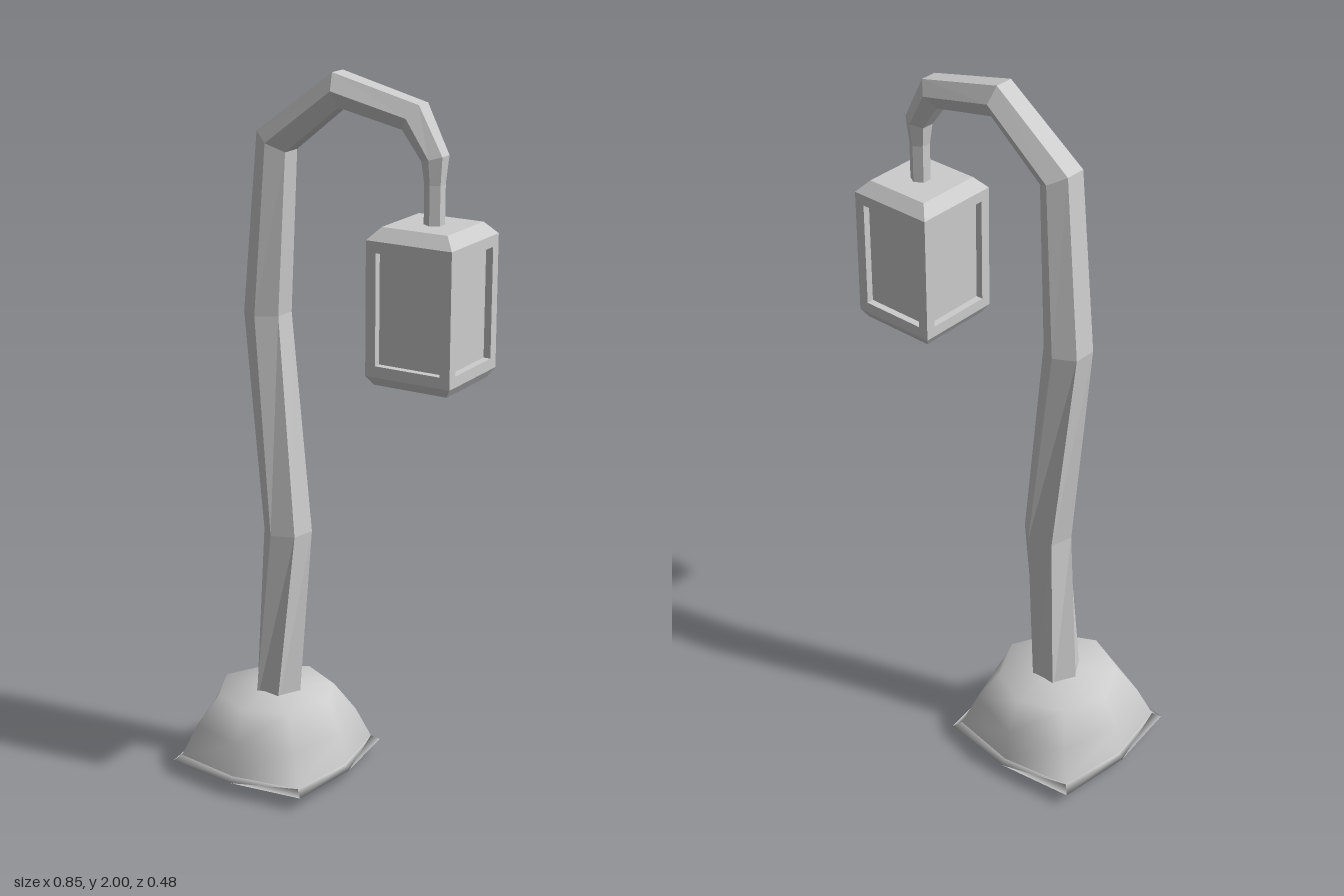
import * as THREE from 'three';

const stone = new THREE.MeshStandardMaterial({ color: 0xcccccc });
stone.name = 'plainGrey';

function add(parent, name, geometry) {
  const mesh = new THREE.Mesh(geometry, stone);
  mesh.name = name;
  parent.add(mesh);
  return mesh;
}

function faceted(geometry) {
  const g = geometry.index ? geometry.toNonIndexed() : geometry;
  g.computeVertexNormals();
  return g;
}

// Skin a stack of rings (bottom to top); optional end points close it.
function loft(rings, { start, end } = {}) {
  const n = rings[0].length, index = [], points = rings.flat();
  for (let j = 0; j < rings.length - 1; j++) {
    for (let i = 0; i < n; i++) {
      const a = j * n + i, b = j * n + (i + 1) % n;
      index.push(a, a + n, b, b, a + n, b + n);
    }
  }
  const cap = (point, base, flip) => {
    const c = points.push(point) - 1;
    for (let i = 0; i < n; i++) {
      const a = base + i, b = base + (i + 1) % n;
      index.push(c, flip ? b : a, flip ? a : b);
    }
  };
  if (start) cap(start, 0, false);
  if (end) cap(end, (rings.length - 1) * n, true);
  const g = new THREE.BufferGeometry().setFromPoints(points);
  g.setIndex(index);
  g.computeVertexNormals();
  return g;
}

// Rounded-square ring: mid-side distance, corner offset, heights of each.
function squareRing(mid, corner, yMid, yCorner = yMid) {
  return Array.from({ length: 8 }, (_, i) => {
    const a = i * Math.PI / 4, isCorner = i % 2 === 1;
    const r = isCorner ? corner * Math.SQRT2 : mid;
    return new THREE.Vector3(r * Math.cos(a), isCorner ? yCorner : yMid, r * Math.sin(a));
  });
}

function createBase() {
  const base = new THREE.Group();
  base.name = 'base';
  base.position.x = -0.185;
  const seam = squareRing(0.228, 0.195, 0.055);
  // Shallow underside, curling up to a thin lip
  add(base, 'underside', loft([squareRing(0.241, 0.214, 0.04), seam],
    { start: new THREE.Vector3(0, 0, 0) }));
  // Smooth mound
  add(base, 'mound', loft(
    [seam, squareRing(0.215, 0.163, 0.145), squareRing(0.172, 0.118, 0.235, 0.23)],
    { end: new THREE.Vector3(0, 0.253, 0) }));
  return base;
}

// Six-sided post that twists as it rises, then hooks over to the lantern.
function createPost() {
  // x, y, z, radius, twist in degrees
  const stations = [
    [-0.182, 0.19, 0, 0.071, 0],
    [-0.150, 0.72, -0.01, 0.068, -18],
    [-0.212, 1.335, -0.013, 0.064, -29],
    [-0.170, 1.805, 0, 0.058, -30],
    [0.025, 1.955, 0, 0.052, -30],
    [0.243, 1.905, 0, 0.047, -30],
    [0.303, 1.805, 0, 0.036, -30],
    [0.303, 1.74, 0, 0.027, -30],
    [0.303, 1.62, 0, 0.027, -30],
  ];
  const centres = stations.map(([x, y, z]) => new THREE.Vector3(x, y, z));
  const rings = stations.map(([, , , r, twist], j) => {
    // Tilt each ring to the bisector of its neighbouring segments
    const t = new THREE.Vector3();
    if (j === 0) t.set(0, 1, 0);
    else t.subVectors(centres[j], centres[j - 1]).normalize();
    if (j > 0 && j < centres.length - 1) {
      t.add(new THREE.Vector3().subVectors(centres[j + 1], centres[j]).normalize());
    }
    t.z = 0;
    t.normalize();
    return Array.from({ length: 6 }, (_, i) => {
      const a = THREE.MathUtils.degToRad(twist + i * 60);
      const u = r * Math.cos(a);
      return new THREE.Vector3(t.y * u, -t.x * u, r * Math.sin(a)).add(centres[j]);
    });
  });
  return faceted(loft(rings, { start: centres[0], end: centres.at(-1) }));
}

function createLantern() {
  const lantern = new THREE.Group();
  lantern.name = 'lantern';
  lantern.position.set(0.299, 0, 0);
  const half = 0.123, depth = 0.02, low = 1.25, high = 1.605;

  // Recessed panes are the sides of an inner box
  const core = 2 * (half - depth);
  add(lantern, 'panes', new THREE.BoxGeometry(core, high - low, core))
    .position.y = (low + high) / 2;

  // One window frame per side
  const rect = (Type, w, y0, y1) => new Type([
    new THREE.Vector2(-w, y0), new THREE.Vector2(w, y0),
    new THREE.Vector2(w, y1), new THREE.Vector2(-w, y1)]);
  const shape = rect(THREE.Shape, half, low, high);
  shape.holes.push(rect(THREE.Path, 0.094, 1.28, 1.575));
  const frame = new THREE.ExtrudeGeometry(shape, { depth, bevelEnabled: false });
  frame.translate(0, 0, half - depth);
  for (let i = 0; i < 4; i++) add(lantern, 'windowFrame', frame).rotation.y = i * Math.PI / 2;

  // Bevelled lid and floor
  const slab = (name, topHalf, bottomHalf, y0, y1) => {
    const g = new THREE.CylinderGeometry(topHalf * Math.SQRT2, bottomHalf * Math.SQRT2, y1 - y0, 4);
    g.rotateY(Math.PI / 4);
    add(lantern, name, faceted(g)).position.y = (y0 + y1) / 2;
  };
  slab('lid', 0.094, half, high, 1.637);
  slab('floor', half, 0.107, 1.225, low);
  return lantern;
}

export function createModel() {
  const model = new THREE.Group();
  model.name = 'streetLamp';
  model.add(createBase());
  add(model, 'post', createPost());
  model.add(createLantern());
  return model;
}
